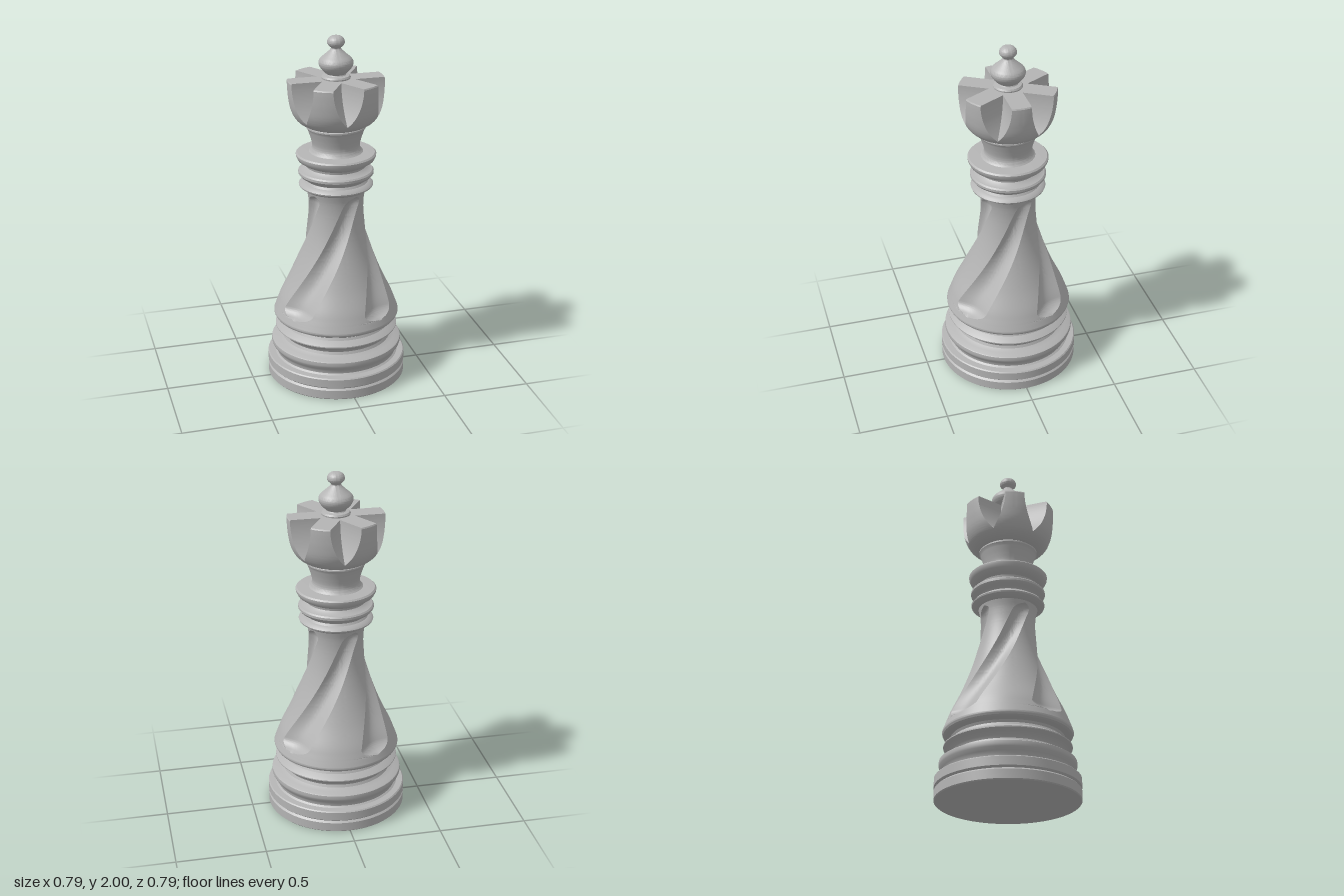
import * as THREE from 'three';
import { toCreasedNormals } from 'three/addons/utils/BufferGeometryUtils.js';

const DEG = Math.PI / 180;
const vecs = (pts) => pts.map(([r, y]) => new THREE.Vector2(r, y));
const smooth = (pts, n) => new THREE.SplineCurve(vecs(pts)).getPoints(n);

export function createModel() {
  const group = new THREE.Group();
  const stone = new THREE.MeshStandardMaterial({ color: 0xb4b4b4 });

  function add(name, geometry, crease = 0.55) {
    const mesh = new THREE.Mesh(toCreasedNormals(geometry, crease), stone);
    mesh.name = name;
    group.add(mesh);
  }
  const turned = (name, pts) => add(name, new THREE.LatheGeometry(pts, 96));

  // Skin stacked rings, each a closed list of [angle, radius, y]
  function skin(rings) {
    const pos = [], index = [], n = rings[0].length;
    rings.forEach((ring, i) => ring.forEach(([a, r, y], j) => {
      pos.push(r * Math.sin(a), y, r * Math.cos(a));
      if (i === rings.length - 1) return;
      const k = (j + 1) % n, p = i * n;
      index.push(p + j, p + k, p + n + j, p + k, p + n + k, p + n + j);
    }));
    const g = new THREE.BufferGeometry();
    g.setAttribute('position', new THREE.Float32BufferAttribute(pos, 3));
    g.setIndex(index);
    return g;
  }

  // Stepped base with two beads
  turned('base', vecs([
    [0, 0], [0.39, 0], [0.396, 0.006], [0.396, 0.056], [0.39, 0.062], [0.385, 0.066],
    [0.39, 0.07], [0.396, 0.076], [0.396, 0.124], [0.39, 0.13], [0.355, 0.132],
    [0.345, 0.14], [0.347, 0.155], [0.357, 0.17], [0.37, 0.188], [0.374, 0.2],
    [0.372, 0.218], [0.366, 0.222], [0.335, 0.228], [0.312, 0.24], [0.305, 0.255],
    [0.312, 0.27], [0.335, 0.287], [0.35, 0.3], [0.35, 0.306], [0.335, 0.316],
    [0.312, 0.328], [0.305, 0.342], [0.312, 0.355], [0.34, 0.363], [0, 0.364],
  ]));

  // Flared body with four twisted flutes
  const y0 = 0.425, y1 = 1.115;
  const profile = [
    ...vecs([[0.3, 0.362], [0.34, 0.364]]),
    ...smooth([[0.352, 0.37], [0.358, 0.385], [0.352, 0.405], [0.335, 0.45], [0.315, 0.5],
      [0.267, 0.6], [0.226, 0.7], [0.192, 0.8], [0.167, 0.9], [0.154, 1.0], [0.156, 1.08],
      [0.168, 1.135]], 110),
  ];
  add('flutedBody', skin(profile.map(({ x: r, y }) => {
    const t = THREE.MathUtils.clamp((y - y0) / (y1 - y0), 0, 1);
    const end = Math.min(1, Math.min(t, 1 - t) / 0.07);
    const round = Math.sqrt(Math.max(0, 1 - (1 - end) ** 2));
    const centre = 31 + 86 * t ** 1.4;
    const half = Math.max(1, 19 * round);
    const depth = (0.045 - 0.022 * t) * round;
    const ring = [];
    for (let q = 0; q < 4; q++) {
      const c = centre + q * 90;
      for (let i = 0; i < 16; i++) {
        const u = -1 + i / 8;
        ring.push([(c + u * half) * DEG, r - depth * (1 - u * u), y]);
      }
      for (let i = 0; i < 14; i++) {
        ring.push([(c + half + (90 - 2 * half) * i / 14) * DEG, r, y]);
      }
    }
    return ring;
  })), 0.4);

  // Collar of two beads and a wide disc
  turned('collar', vecs([
    [0.1, 1.125], [0.165, 1.13], [0.185, 1.138], [0.205, 1.152], [0.208, 1.16], [0.2, 1.17],
    [0.178, 1.178], [0.17, 1.19], [0.178, 1.201], [0.2, 1.212], [0.21, 1.225], [0.21, 1.238],
    [0.203, 1.246], [0.18, 1.252], [0.165, 1.265], [0.168, 1.278], [0.188, 1.288],
    [0.212, 1.305], [0.222, 1.325], [0.223, 1.337], [0.215, 1.345], [0.15, 1.35], [0, 1.35],
  ]));

  // Waisted neck
  turned('neck', [
    ...smooth([[0.155, 1.345], [0.137, 1.365], [0.132, 1.39], [0.141, 1.43], [0.158, 1.48]], 20),
    ...vecs([[0.166, 1.492], [0.166, 1.5], [0.155, 1.508], [0, 1.508]]),
  ]);

  // Crown bowl with six scooped notches
  const top = 1.765;
  const crown = [
    ...vecs([[0, 1.506], [0.15, 1.506]]),
    ...smooth([[0.175, 1.508], [0.205, 1.527], [0.23, 1.555], [0.25, 1.6], [0.261, 1.66],
      [0.266, 1.72], [0.267, 1.758]], 44),
    ...vecs([[0.263, top]]),
  ];
  const crownRings = crown.map(({ x: r, y }) => {
    const t = (top - y) / 0.21;
    const w = 0.054 + 0.058 * t ** 2;
    const edge = Math.min(Math.asin(Math.min(1, w / Math.max(r, 0.01))), 28 * DEG);
    const half = [];
    for (let i = 0; i < 7; i++) half.push([edge * i / 7, r]);
    for (let i = 0; i <= 9; i++) {
      const a = edge + (30 * DEG - edge) * i / 9;
      half.push([a, Math.min(r, w / Math.sin(a))]);
    }
    const ring = [];
    for (let k = 0; k < 6; k++) {
      const c = (90 + 60 * k) * DEG;
      for (let i = half.length - 1; i > 0; i--) ring.push([c - half[i][0], half[i][1], y]);
      for (let i = 0; i < half.length - 1; i++) ring.push([c + half[i][0], half[i][1], y]);
    }
    return ring;
  });
  crownRings.push(crownRings.at(-1).map(([a]) => [a, 0, top]));
  add('crown', skin(crownRings), 0.5);

  // Bulb and ball on top
  turned('finial', [
    ...vecs([[0.078, 1.76], [0.08, 1.772], [0.074, 1.781], [0.055, 1.785]]),
    ...smooth([[0.052, 1.79], [0.064, 1.8], [0.086, 1.825], [0.095, 1.85], [0.087, 1.872],
      [0.062, 1.895], [0.04, 1.915], [0.027, 1.931], [0.032, 1.939], [0.045, 1.953],
      [0.048, 1.966], [0.042, 1.983], [0.026, 1.996], [0, 2]], 60),
  ]);

  return group;
}
